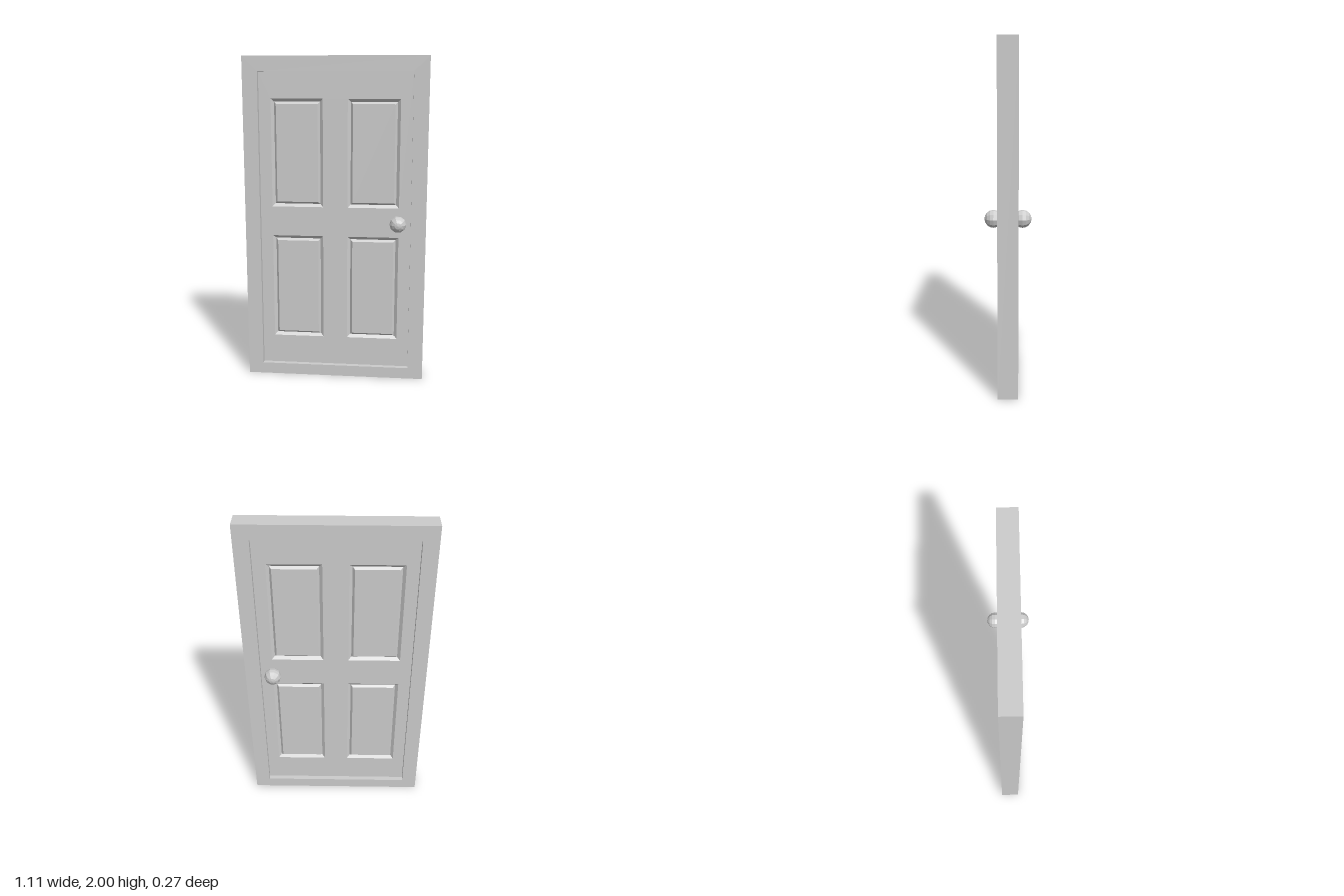
import * as THREE from 'three';

const material = new THREE.MeshStandardMaterial({ color: 0xcccccc, flatShading: true });

const FRAME_Z = 0.058; // half depth of the frame
const DOOR_Z = 0.028;  // half depth of the door leaf
const OPENING = [-0.463, 0.07, 0.463, 1.91];

// Corner list of a rectangle [x0, y0, x1, y1] shrunk by an inset
function corners([x0, y0, x1, y1], inset = 0) {
  const a = x0 + inset, b = y0 + inset, c = x1 - inset, d = y1 - inset;
  return [[a, b], [c, b], [c, d], [a, d]];
}

function points(rect) {
  return corners(rect).map(([x, y]) => new THREE.Vector2(x, y));
}

// Flat slab with rectangular holes, centred on z = 0
function slab(rect, holes, halfDepth) {
  const shape = new THREE.Shape(points(rect));
  for (const h of holes) shape.holes.push(new THREE.Path(points(h)));
  const geometry = new THREE.ExtrudeGeometry(shape, { depth: halfDepth * 2, bevelEnabled: false });
  return geometry.translate(0, 0, -halfDepth);
}

// Raised panel: a V groove sinks from the door face, then rises to a flat field
function panelGeometry(rect) {
  const rings = [[0, DOOR_Z], [0.018, DOOR_Z - 0.016], [0.031, DOOR_Z - 0.001]]
    .map(([inset, z]) => corners(rect, inset).map(([x, y]) => [x, y, z]));
  const pos = [];
  const quad = (a, b, c, d) => pos.push(...a, ...b, ...c, ...a, ...c, ...d);
  for (let r = 0; r < 2; r++) {
    for (let i = 0; i < 4; i++) {
      const j = (i + 1) % 4;
      quad(rings[r][i], rings[r][j], rings[r + 1][j], rings[r + 1][i]);
    }
  }
  quad(...rings[2]);
  const geometry = new THREE.BufferGeometry();
  geometry.setAttribute('position', new THREE.Float32BufferAttribute(pos, 3));
  geometry.computeVertexNormals();
  return geometry;
}

function add(parent, name, geometry) {
  const mesh = new THREE.Mesh(geometry, material);
  mesh.name = name;
  parent.add(mesh);
  return mesh;
}

export function createModel() {
  const model = new THREE.Group();
  model.name = 'panelDoor';

  // Surrounding frame and the recessed leaf
  add(model, 'frame', slab([-0.555, 0, 0.555, 2], [OPENING], FRAME_Z));
  const panels = [];
  for (const [x0, x1] of [[-0.39, -0.075], [0.075, 0.39]]) {
    for (const [y0, y1] of [[0.252, 0.91], [1.093, 1.75]]) panels.push([x0, y0, x1, y1]);
  }
  add(model, 'doorLeaf', slab(OPENING, panels, DOOR_Z));

  // Panels and a knob on both faces; the back is turned half round
  for (const side of [1, -1]) {
    const face = new THREE.Group();
    face.name = side > 0 ? 'frontFace' : 'backFace';
    if (side < 0) face.rotation.y = Math.PI;
    model.add(face);

    for (const rect of panels) add(face, 'panel', panelGeometry(rect));

    const stem = add(face, 'knobStem', new THREE.CylinderGeometry(0.02, 0.02, 0.03, 10).rotateX(Math.PI / 2));
    stem.position.set(0.385 * side, 1.005, DOOR_Z + 0.01);
    const knob = add(face, 'knob', new THREE.SphereGeometry(0.051, 10, 8).rotateX(Math.PI / 2));
    knob.position.set(0.385 * side, 1.005, 0.082);
  }
  return model;
}
